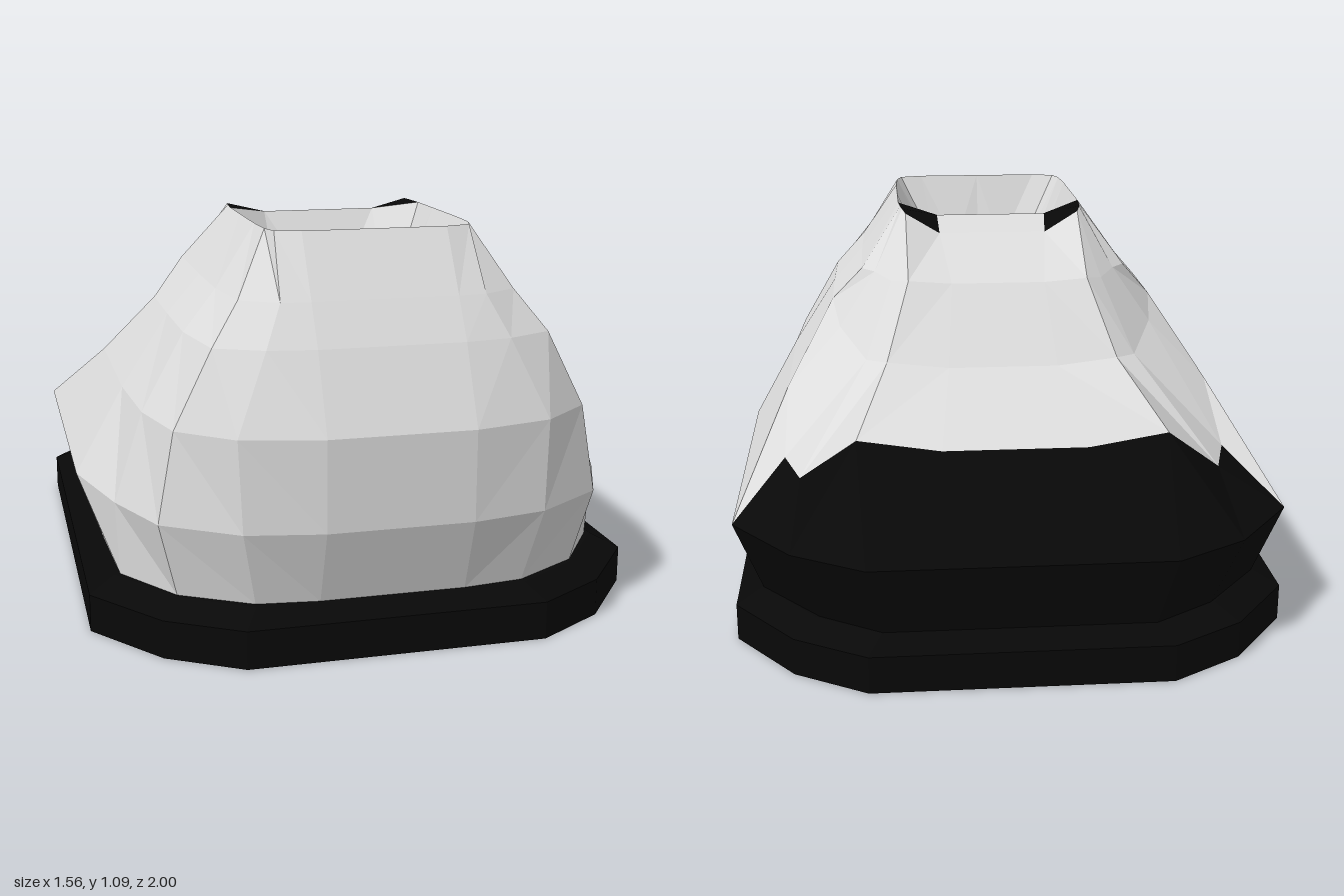
import * as THREE from 'three';

const white = new THREE.MeshStandardMaterial({ color: 0xdcdcdc });
white.name = 'light grey upper';
const black = new THREE.MeshStandardMaterial({ color: 0x080808 });
black.name = 'black rubber';

// Half ring at one height from [x, z] pairs, running heel centre to toe centre
const level = (y, pts) => pts.map(([x, z]) => [x, y, z]);
// A ring collapsed to one point, for closing caps
const point = (n, p) => Array.from({ length: n }, () => p);

// Facets between two half rings, built on both sides of the shoe
function strip(out, low, high, from = 0, to = low.length - 1) {
  const tri = (...corners) => {
    const [a, b, c] = corners.map((p) => new THREE.Vector3(...p));
    if (b.clone().sub(a).cross(c.clone().sub(a)).length() < 1e-6) return;
    for (const v of [a, b, c]) out.push(v.x, v.y, v.z);
    for (const v of [a, c, b]) out.push(-v.x, v.y, v.z);
  };
  for (let i = from; i < to; i++) {
    tri(low[i], low[i + 1], high[i + 1]);
    tri(low[i], high[i + 1], high[i]);
  }
}

function addPart(group, name, material, build) {
  const out = [];
  build(out);
  const geometry = new THREE.BufferGeometry();
  geometry.setAttribute('position', new THREE.Float32BufferAttribute(out, 3));
  geometry.computeVertexNormals();
  const mesh = new THREE.Mesh(geometry, material);
  mesh.name = name;
  group.add(mesh);
}

export function createModel() {
  const shoe = new THREE.Group();
  shoe.name = 'shoe';

  // Sole: chamfered slab
  const outline = [[0, 1], [0.41, 1], [0.61, 0.88], [0.78, 0.66],
    [0.78, -0.66], [0.61, -0.88], [0.41, -1], [0, -1]];
  const n = outline.length;
  addPart(shoe, 'sole', black, (out) => {
    const rings = [point(n, [0, 0, 0]), level(0, outline), level(0.105, outline),
      level(0.14, outline.map(([x, z]) => [x * 0.905, z * 0.93])), point(n, [0, 0.14, 0])];
    for (let i = 0; i < rings.length - 1; i++) strip(out, rings[i], rings[i + 1]);
  });

  // Upper cross-sections from the sole to the collar
  const welt = level(0.14, [[0, 0.93], [0.2, 0.93], [0.37, 0.91], [0.56, 0.8], [0.69, 0.61],
    [0.705, 0.33], [0.705, -0.62], [0.705, -0.62], [0.54, -0.82], [0.37, -0.93], [0.18, -0.93], [0, -0.93]]);
  const widest = level(0.35, [[0, 1], [0.2, 1], [0.41, 0.96], [0.61, 0.83], [0.7, 0.62],
    [0.78, 0.33], [0.78, -0.66], [0.78, -0.66], [0.61, -0.88], [0.41, -1], [0.2, -1], [0, -1]]);
  const middle = [
    ...level(0.6, [[0, 1], [0.2, 1], [0.42, 0.95], [0.565, 0.83], [0.62, 0.62], [0.64, 0.33], [0.64, -0.19]]),
    [0.64, 0.47, -0.46], [0.59, 0.47, -0.63], [0.43, 0.6, -0.7], [0.2, 0.585, -0.76], [0, 0.585, -0.76]];
  const shoulder = [
    ...level(0.81, [[0, 0.9], [0.2, 0.9], [0.33, 0.88], [0.46, 0.82], [0.5, 0.6], [0.505, 0.33], [0.505, 0.06]]),
    [0.48, 0.76, -0.1], [0.4, 0.71, -0.3], [0.34, 0.715, -0.35], [0.16, 0.7, -0.37], [0, 0.7, -0.37]];
  const ankle = [
    ...level(0.92, [[0, 0.83], [0.2, 0.83], [0.28, 0.82], [0.38, 0.76], [0.405, 0.57], [0.41, 0.33], [0.41, 0]]),
    [0.37, 0.92, -0.05], [0.32, 0.91, -0.14], [0.27, 0.92, -0.19], [0.14, 0.91, -0.19], [0, 0.91, -0.19]];
  const collar = [
    ...level(1.09, [[0, 0.72], [0.2, 0.72], [0.27, 0.7], [0.285, 0.65], [0.29, 0.54], [0.29, 0.33],
      [0.29, 0.19], [0.285, 0.12], [0.28, 0.08]]),
    [0.27, 1.08, 0.05], [0.165, 1.02, 0.03], [0, 1.02, 0.03]];
  const tongueEdge = [[0.17, 1.065, 0.1], [0, 1.065, 0.1]];

  addPart(shoe, 'upper', white, (out) => {
    strip(out, welt, widest, 0, 6);
    strip(out, widest, middle, 0, 7);
    strip(out, middle, shoulder);
    strip(out, shoulder, ankle);
    strip(out, ankle, collar);
  });

  // Toe cap, with a point running back along each side
  addPart(shoe, 'toeCap', black, (out) => {
    strip(out, welt, widest, 6);
    strip(out, widest, middle, 7);
  });

  // Tongue tip and the dark gaps on either side of it
  addPart(shoe, 'tongueTip', white, (out) => strip(out, collar.slice(10), tongueEdge));
  addPart(shoe, 'tongueGaps', black, (out) => {
    const tip = tongueEdge[0];
    strip(out, collar.slice(6, 11), [tip, tip, tip, tip, collar[10]]);
  });

  // Inside of the shoe: tapering walls and a shallow foot bed
  addPart(shoe, 'lining', white, (out) => {
    const mouth = [...collar.slice(0, 7), ...tongueEdge];
    const bed = [[0, 0.65], [0.08, 0.64], [0.15, 0.62], [0.155, 0.6], [0.16, 0.5],
      [0.16, 0.4], [0.16, 0.33], [0.16, 0.31], [0, 0.25]].map(([x, z]) => [x, 0.74 + 0.18 * z, z]);
    strip(out, mouth, bed);
    strip(out, bed, point(bed.length, [0, 0.821, 0.45]));
  });

  return shoe;
}
